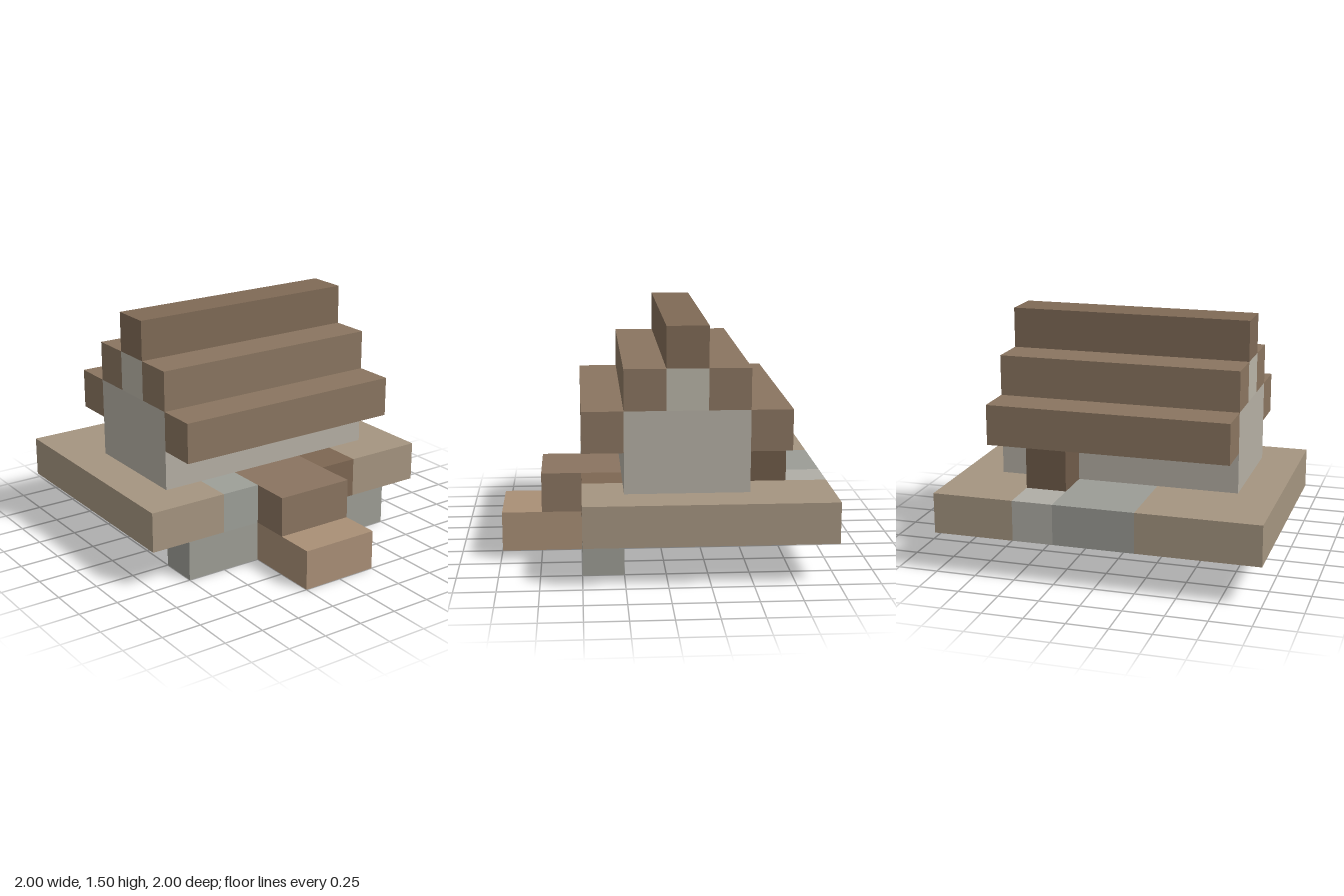
import * as THREE from 'three';

const S = 0.25; // size of one block

// name, colour, then ranges in blocks: x0, x1, y0, y1, z0, z1 (later parts replace earlier blocks)
const PARTS = [
  ['foundation', 0x9d9d95, -3, 3, 0, 1, 1, 2],
  ['lowerStep', 0xa98f76, -1, 1, 0, 1, 1, 4],
  ['platform', 0xa59580, -4, 4, 1, 2, -4, 2],
  ['frontStonePatch', 0x9d9f98, -2, -1, 1, 2, 1, 2],
  ['frontDarkPatch', 0x7d6752, 1, 2, 1, 2, 1, 2],
  ['upperStep', 0x8a7460, -1, 1, 1, 2, 1, 3],
  ['backStonePatch', 0x9b9c96, -1, 1, 1, 2, -4, -2],
  ['backPaleBlock', 0xafada6, 1, 2, 1, 2, -4, -3],
  ['backPost', 0x6f5b49, 1, 2, 2, 3, -3, -2],
  ['walls', 0xb5afa4, -3, 3, 2, 4, -2, 1],
  ['gable', 0xb9b4a7, -3, 3, 4, 5, -1, 0],
  ['frontEave', 0x8a7560, -3, 3, 3, 4, 1, 2],
  ['backEave', 0x8a7560, -3, 3, 3, 4, -3, -2],
  ['frontRoofStep', 0x8a7560, -3, 3, 4, 5, 0, 1],
  ['backRoofStep', 0x8a7560, -3, 3, 4, 5, -2, -1],
  ['ridge', 0x7f6a56, -3, 3, 5, 6, -1, 0],
];

// outward normal and two edge directions with u x v = n; undersides stay open
const SIDES = [
  { n: [1, 0, 0], u: [0, 1, 0], v: [0, 0, 1] },
  { n: [-1, 0, 0], u: [0, 0, 1], v: [0, 1, 0] },
  { n: [0, 1, 0], u: [0, 0, 1], v: [1, 0, 0] },
  { n: [0, 0, 1], u: [1, 0, 0], v: [0, 1, 0] },
  { n: [0, 0, -1], u: [0, 1, 0], v: [1, 0, 0] },
];

const key = (x, y, z) => `${x},${y},${z}`;

function eachBlock([, , x0, x1, y0, y1, z0, z1], visit) {
  for (let x = x0; x < x1; x++)
    for (let y = y0; y < y1; y++)
      for (let z = z0; z < z1; z++) visit(x, y, z);
}

// only faces with no neighbouring block are kept, so the whole is one hollow shell
function shellGeometry(part, index, blocks) {
  const positions = [], normals = [], indices = [];
  eachBlock(part, (x, y, z) => {
    if (blocks.get(key(x, y, z)) !== index) return;
    for (const { n, u, v } of SIDES) {
      if (blocks.has(key(x + n[0], y + n[1], z + n[2]))) continue;
      const first = positions.length / 3;
      const centre = [x + 0.5, y + 0.5, z + 0.5];
      for (const [a, b] of [[-1, -1], [1, -1], [1, 1], [-1, 1]]) {
        for (let i = 0; i < 3; i++)
          positions.push((centre[i] + (n[i] + a * u[i] + b * v[i]) / 2) * S);
        normals.push(...n);
      }
      indices.push(first, first + 1, first + 2, first, first + 2, first + 3);
    }
  });
  const geometry = new THREE.BufferGeometry();
  geometry.setAttribute('position', new THREE.Float32BufferAttribute(positions, 3));
  geometry.setAttribute('normal', new THREE.Float32BufferAttribute(normals, 3));
  geometry.setIndex(indices);
  return geometry;
}

export function createModel() {
  const group = new THREE.Group();
  group.name = 'blockHouse';
  const blocks = new Map();
  PARTS.forEach((part, i) => eachBlock(part, (x, y, z) => blocks.set(key(x, y, z), i)));

  PARTS.forEach((part, i) => {
    const material = new THREE.MeshStandardMaterial({ color: part[1], side: THREE.DoubleSide });
    const mesh = new THREE.Mesh(shellGeometry(part, i, blocks), material);
    mesh.name = part[0];
    group.add(mesh);
  });
  return group;
}
